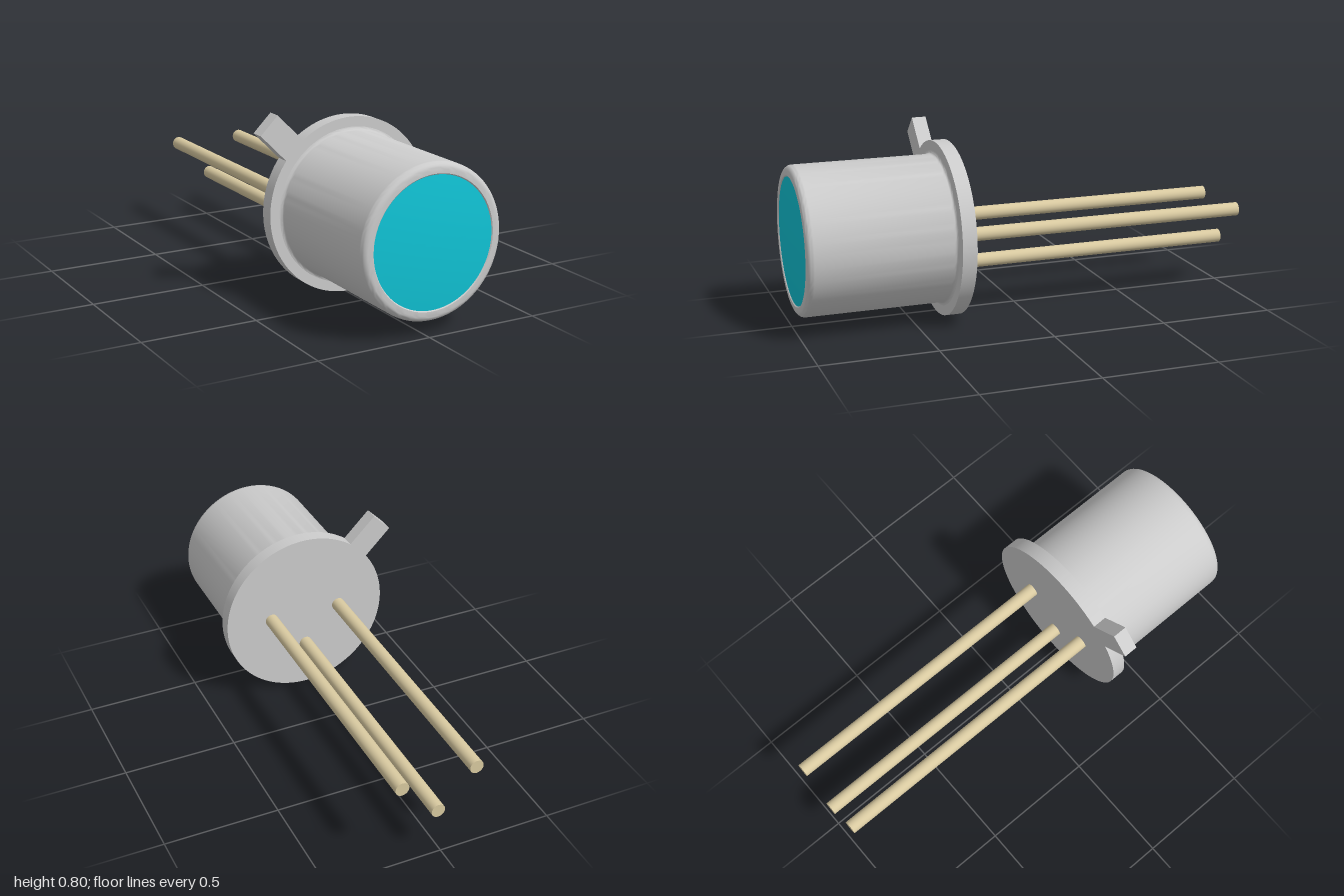
import * as THREE from 'three';
import { toCreasedNormals } from 'three/addons/utils/BufferGeometryUtils.js';

const CX = 0.018, CY = 0.379; // axis of the can

export function createModel() {
  const group = new THREE.Group();
  const metal = new THREE.MeshStandardMaterial({ color: 0xcccccc });
  const glass = new THREE.MeshStandardMaterial({ color: 0x10c4d6 });
  const brass = new THREE.MeshStandardMaterial({ color: 0xd8c9a0 });

  const add = (name, geometry, material, x = CX, y = CY, z = 0) => {
    const mesh = new THREE.Mesh(geometry, material);
    mesh.name = name;
    mesh.position.set(x, y, z);
    group.add(mesh);
  };
  // Profile of [radius, z] points turned around the z axis
  const turn = (profile) => toCreasedNormals(
    new THREE.LatheGeometry(profile.map(([r, z]) => new THREE.Vector2(r, z)), 96).rotateX(Math.PI / 2), 0.6);
  // Quarter-round points between two angles
  const arc = (r, z, radius, from, to, n = 6) => Array.from({ length: n + 1 }, (_, i) => {
    const a = from + (to - from) * i / n;
    return [r + radius * Math.cos(a), z + radius * Math.sin(a)];
  });

  // Base flange with the square index tab at 135 degrees
  const R = 0.378, half = 0.055, reach = 0.538;
  const mid = Math.PI * 0.75, gap = Math.asin(half / R);
  const shape = new THREE.Shape();
  shape.absarc(0, 0, R, mid + gap, mid - gap + Math.PI * 2, false);
  for (const side of [-half, half]) {
    shape.lineTo(
      reach * Math.cos(mid) - side * Math.sin(mid),
      reach * Math.sin(mid) + side * Math.cos(mid));
  }
  shape.closePath();
  const flange = new THREE.ExtrudeGeometry(shape, { depth: 0.063, bevelEnabled: false, curveSegments: 96 });
  add('flangeWithTab', toCreasedNormals(flange, 0.5), metal, CX, CY, 0.3);

  // Can with a flared foot, rounded front edge and a lip around the window
  add('can', turn([
    ...arc(0.335, 0.378, 0.015, Math.PI * 1.5, Math.PI, 4),
    ...arc(0.292, 0.964, 0.028, 0, Math.PI / 2),
    [0.276, 0.992], [0.272, 0.988], [0.272, 0.97],
  ]), metal);

  // Slightly domed window
  const dome = Array.from({ length: 9 }, (_, i) => {
    const r = 0.272 * (1 - i / 8);
    return [r, 1 - 0.012 * (r / 0.272) ** 2];
  });
  add('window', turn(dome), glass);

  // Three leads in a triangle
  for (const [x, y] of [[-0.164, 0.003], [0.164, 0.003], [0, -0.164]]) {
    const lead = new THREE.CylinderGeometry(0.03, 0.03, 1.31, 32).rotateX(Math.PI / 2);
    add('lead', lead, brass, CX + x, CY + y, -0.345);
  }
  return group;
}
